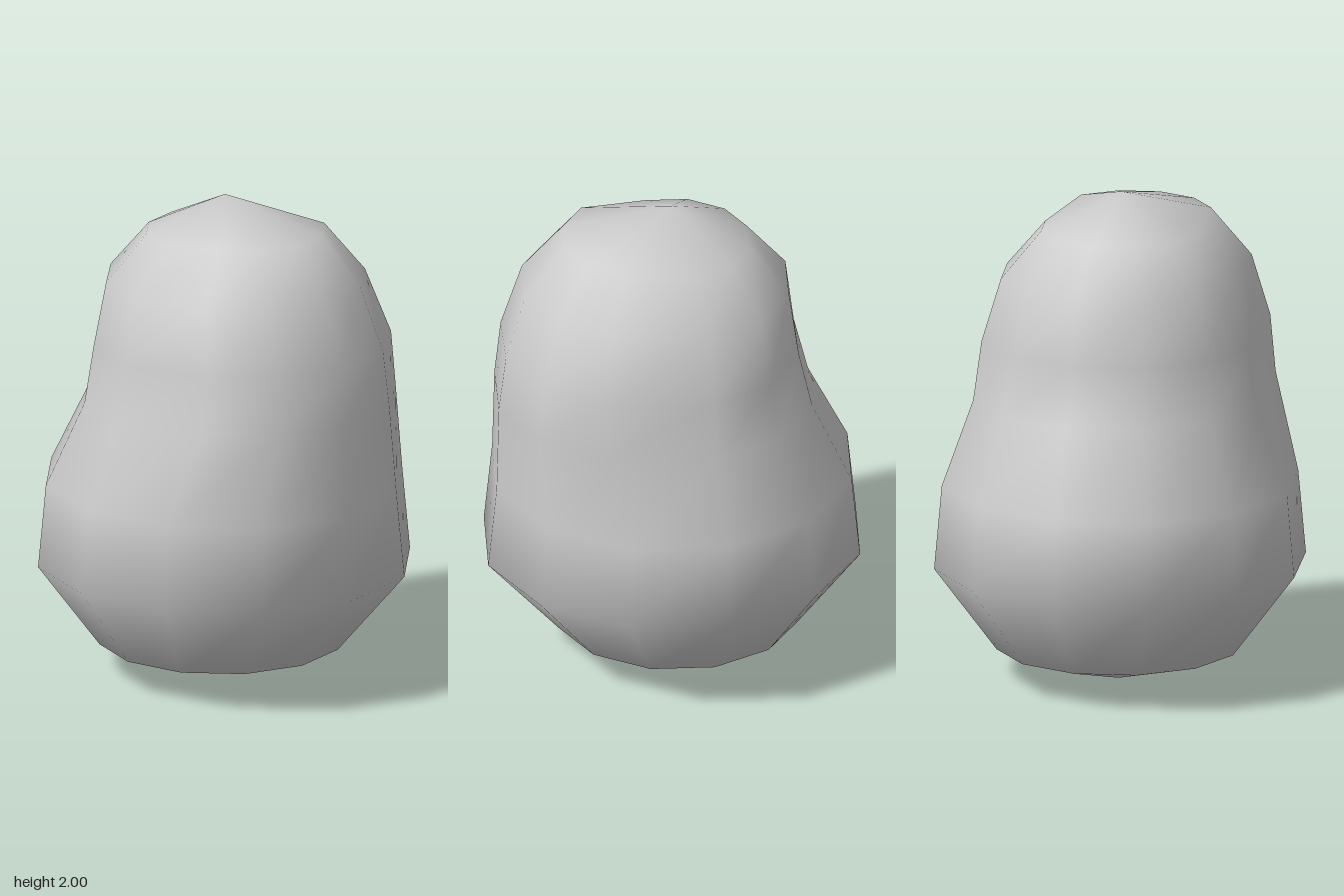
import * as THREE from 'three';

const SIDES = 12;

// Cross-sections from bottom to top: height, centre x, centre z, radius x, radius z,
// sideways bulge of the +x half, and rise of the +x half
const RINGS = [
  [0.14, -0.025, 0, 0.495, 0.49, 0, 0],
  [0.48, -0.01, 0, 0.765, 0.745, 0.01, 0],
  [0.82, -0.01, 0, 0.73, 0.715, 0.01, 0],
  [1.16, 0, -0.013, 0.57, 0.585, 0.155, 0.04],
  [1.40, 0, -0.012, 0.51, 0.558, 0.185, 0.03],
  [1.66, 0, 0, 0.48, 0.483, 0.13, 0.03],
  [1.85, 0, 0, 0.32, 0.32, 0.125, 0.04],
];

function loftBody() {
  const positions = [];
  const index = [];
  for (const [y, cx, cz, rx, rz, bulge, rise] of RINGS) {
    for (let j = 0; j < SIDES; j++) {
      const angle = (j / SIDES) * Math.PI * 2;
      const c = Math.cos(angle);
      const side = THREE.MathUtils.clamp(c * 2, 0, 1);
      positions.push(cx + rx * c + bulge * side, y + rise * side, cz + rz * Math.sin(angle));
    }
  }
  const bottom = RINGS.length * SIDES;
  const top = bottom + 1;
  positions.push(-0.02, 0, 0, 0, 2, 0);

  const last = (RINGS.length - 1) * SIDES;
  for (let j = 0; j < SIDES; j++) {
    const k = (j + 1) % SIDES;
    // walls between neighbouring rings
    for (let a = 0; a < last; a += SIDES) {
      index.push(a + j, a + SIDES + j, a + k, a + k, a + SIDES + j, a + SIDES + k);
    }
    // pointed ends
    index.push(bottom, j, k, top, last + k, last + j);
  }

  const geometry = new THREE.BufferGeometry();
  geometry.setAttribute('position', new THREE.Float32BufferAttribute(positions, 3));
  geometry.setIndex(index);
  geometry.computeVertexNormals();
  return geometry;
}

export function createModel() {
  const group = new THREE.Group();
  group.name = 'pearShape';
  const body = new THREE.Mesh(loftBody(), new THREE.MeshStandardMaterial({ color: 0xcccccc }));
  body.name = 'body';
  group.add(body);
  return group;
}
